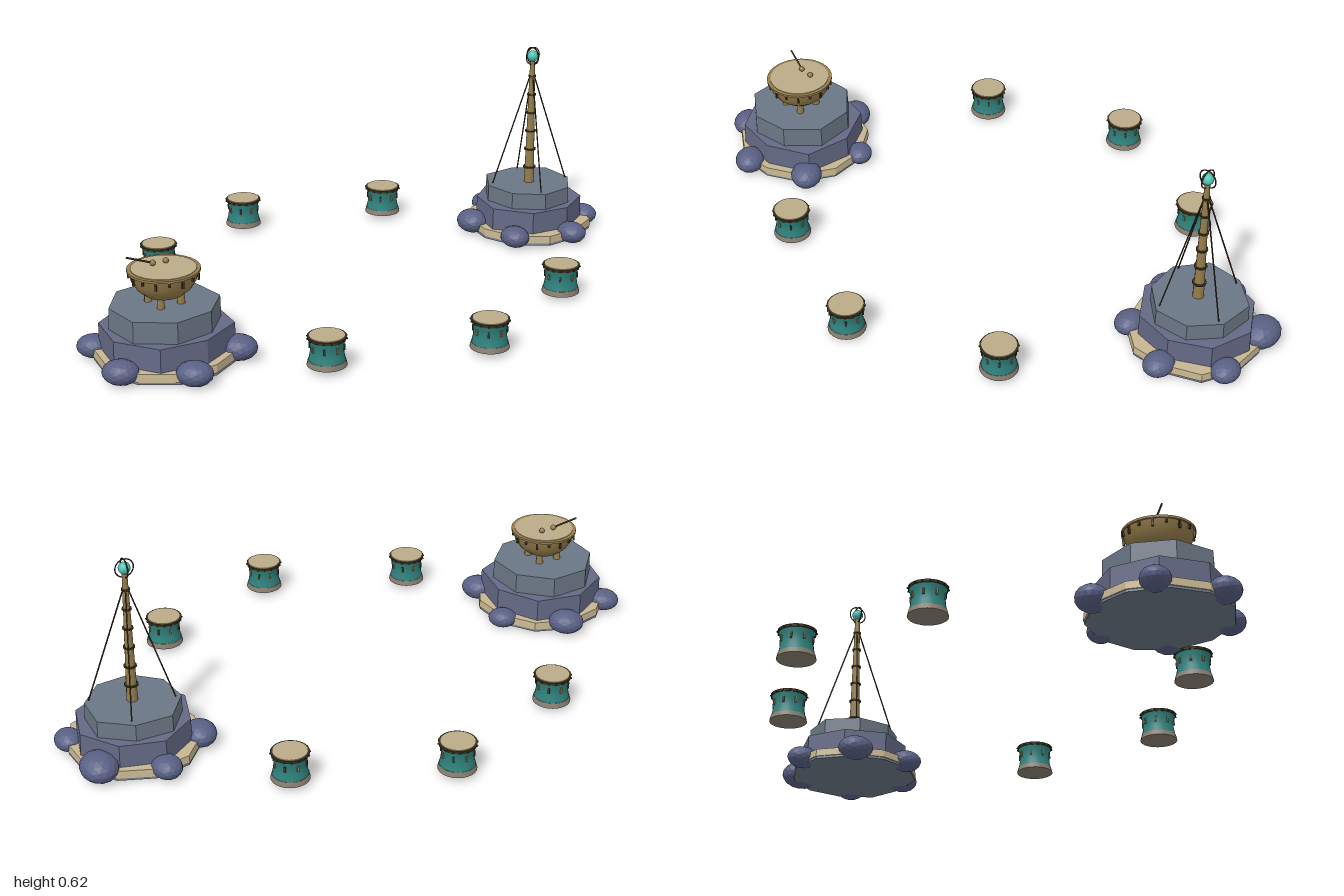
import * as THREE from 'three';

const mat = (name, color) => Object.assign(new THREE.MeshStandardMaterial({ color }), { name });
const M = {
  slate: mat('slate', 0x6b7785),
  stone: mat('blue stone', 0x646a86),
  boulder: mat('boulder stone', 0x596084),
  sand: mat('sand', 0xc6b691),
  skin: mat('drum skin', 0xbbab88),
  brass: mat('brass', 0x967d4b),
  dark: mat('dark wood', 0x40361f),
  teal: mat('teal shell', 0x2f827e),
  orb: mat('orb glow', 0x4fc4b8),
  foot: mat('grey foot', 0x877e70),
};

function add(parent, name, geo, material, x = 0, y = 0, z = 0) {
  const mesh = new THREE.Mesh(geo, material);
  mesh.name = name;
  mesh.position.set(x, y, z);
  parent.add(mesh);
  return mesh;
}

function seeded(seed) {
  let s = seed;
  return () => ((s = (s * 16807) % 2147483647) / 2147483647);
}

// Hard-edged copy of a geometry
function facet(geo) {
  const g = geo.index ? geo.toNonIndexed() : geo;
  g.computeVertexNormals();
  return g;
}

// Rough stone slab: a prism whose corners are pushed in or out a little
function slab(radius, height, sides, turn, seed, rough = 0.05) {
  const rnd = seeded(seed);
  const k = Array.from({ length: sides }, () => 1 + (rnd() - 0.5) * 2 * rough);
  const geo = new THREE.CylinderGeometry(radius * 0.99, radius, height, sides);
  const p = geo.attributes.position;
  for (let i = 0; i < p.count; i++) {
    const a = Math.atan2(p.getX(i), p.getZ(i));
    const n = (Math.round((a / (2 * Math.PI)) * sides) + sides) % sides;
    p.setX(i, p.getX(i) * k[n]);
    p.setZ(i, p.getZ(i) * k[n]);
  }
  geo.rotateY(turn);
  return facet(geo);
}

// Thin rod between two points
function rod(parent, name, a, b, r, material) {
  const from = new THREE.Vector3(...a), to = new THREE.Vector3(...b);
  const curve = new THREE.LineCurve3(from, to);
  return add(parent, name, new THREE.TubeGeometry(curve, 1, r, 6), material);
}

// Stepped stone island with a sandy skirt and six boulders
function island(name, x, z, o) {
  const g = new THREE.Group();
  g.name = name;
  g.position.set(x, 0, z);
  add(g, 'underside', slab(o.sand * 0.99, 0.008, 11, 0.2, o.seed, 0.03), M.slate, 0, 0.018, 0);
  add(g, 'sandSkirt', slab(o.sand, 0.024, 11, 0.2, o.seed, 0.03), M.sand, 0, 0.034, 0);
  add(g, 'lowerTier', slab(o.lower, 0.072, 8, 0.15, o.seed + 5), M.stone, 0, 0.08, 0);
  add(g, 'upperTier', slab(o.upper, o.top - 0.114, 8, 0.45, o.seed + 9), M.slate, 0, (o.top + 0.114) / 2, 0);
  o.sizes.forEach((s, i) => {
    const a = o.start + (i * Math.PI) / 3;
    const b = add(g, 'boulder', facet(new THREE.IcosahedronGeometry(1, 2)), M.boulder,
      o.ring * Math.cos(a), 0.036 * s + 0.006, o.ring * Math.sin(a));
    b.scale.set(0.054 * s, 0.036 * s, 0.047 * s);
    b.rotation.y = -a + i;
  });
  return g;
}

// Small waisted drum
function drum(x, z) {
  const g = new THREE.Group();
  g.name = 'smallDrum';
  g.position.set(x, 0, z);
  add(g, 'foot', new THREE.CylinderGeometry(0.054, 0.058, 0.016, 24), M.foot, 0, 0.03, 0);
  const profile = [[0.053, 0.038], [0.0495, 0.055], [0.048, 0.07], [0.0495, 0.087], [0.054, 0.104]];
  add(g, 'shell', new THREE.LatheGeometry(profile.map((p) => new THREE.Vector2(...p)), 24), M.teal);
  add(g, 'rim', new THREE.CylinderGeometry(0.057, 0.056, 0.008, 24), M.dark, 0, 0.106, 0);
  add(g, 'skin', new THREE.CylinderGeometry(0.052, 0.052, 0.004, 24), M.skin, 0, 0.1105, 0);
  for (let i = 0; i < 8; i++) {
    const a = (i * Math.PI) / 4;
    const lug = add(g, 'lug', new THREE.BoxGeometry(0.006, 0.018, 0.006), i % 2 ? M.dark : M.brass,
      0.049 * Math.sin(a), 0.078, 0.049 * Math.cos(a));
    lug.rotation.y = a;
  }
  for (let i = 0; i < 16; i++) {
    const a = (i * Math.PI) / 8;
    add(g, 'rimPeg', new THREE.SphereGeometry(0.003, 6, 4), M.dark, 0.057 * Math.sin(a), 0.105, 0.057 * Math.cos(a));
  }
  return g;
}

// Large bowl drum on short feet
function bowlDrum() {
  const g = new THREE.Group();
  g.name = 'bowlDrum';
  const profile = [[0.001, 0.196], [0.03, 0.197], [0.055, 0.207], [0.078, 0.226], [0.093, 0.25], [0.1, 0.276], [0.1, 0.28]];
  add(g, 'bowl', new THREE.LatheGeometry(profile.map((p) => new THREE.Vector2(...p)), 32), M.brass);
  add(g, 'rim', new THREE.CylinderGeometry(0.105, 0.105, 0.007, 32), M.brass, 0, 0.28, 0);
  add(g, 'skin', new THREE.CylinderGeometry(0.094, 0.094, 0.004, 32), M.skin, 0, 0.2835, 0);
  for (let i = 0; i < 16; i++) {
    const a = (i * Math.PI) / 8;
    const peg = add(g, 'peg', new THREE.BoxGeometry(0.006, i % 2 ? 0.014 : 0.024, 0.006), M.dark,
      0.1 * Math.sin(a), i % 2 ? 0.27 : 0.265, 0.1 * Math.cos(a));
    peg.rotation.y = a;
  }
  for (let i = 0; i < 4; i++) {
    const a = Math.PI / 4 + (i * Math.PI) / 2;
    add(g, 'foot', new THREE.CylinderGeometry(0.01, 0.012, 0.032, 8), M.brass, 0.048 * Math.sin(a), 0.193, 0.048 * Math.cos(a));
  }
  // Mallet resting on the skin
  rod(g, 'malletStick', [-0.092, 0.32, -0.05], [-0.018, 0.294, -0.028], 0.003, M.dark);
  add(g, 'malletHead', new THREE.SphereGeometry(0.009, 12, 8), M.brass, -0.018, 0.294, -0.028);
  add(g, 'malletHead', new THREE.SphereGeometry(0.009, 12, 8), M.brass, 0.024, 0.292, -0.026);
  return g;
}

// Banded mast with four stays and a ringed orb
function mast() {
  const g = new THREE.Group();
  g.name = 'mast';
  add(g, 'pole', new THREE.CylinderGeometry(0.008, 0.017, 0.42, 12), M.brass, 0, 0.373, 0);
  for (let i = 0; i < 6; i++) {
    const y = 0.22 + i * 0.0625;
    add(g, 'band', new THREE.CylinderGeometry(0.021 - i * 0.0016, 0.021 - i * 0.0016, 0.005, 12), M.dark, 0, y, 0);
  }
  for (let i = 0; i < 4; i++) {
    const a = 0.41 + (i * Math.PI) / 2;
    rod(g, 'stay', [0.008 * Math.cos(a), 0.53, 0.008 * Math.sin(a)],
      [0.126 * Math.cos(a), 0.172, 0.126 * Math.sin(a)], 0.0022, M.dark);
  }
  add(g, 'orb', new THREE.SphereGeometry(0.018, 16, 12), M.orb, 0, 0.6, 0);
  for (const turn of [0, Math.PI / 2]) {
    add(g, 'orbRing', new THREE.TorusGeometry(0.028, 0.002, 6, 32), M.dark, 0, 0.6, 0).rotation.y = turn;
  }
  return g;
}

export function createModel() {
  const model = new THREE.Group();
  model.name = 'drumCircle';

  const left = island('drumIsland', -0.76, 0.103, {
    sand: 0.212, lower: 0.19, upper: 0.163, top: 0.18, ring: 0.207, start: -2.45, seed: 71,
    sizes: [0.95, 1.05, 0.85, 1.05, 1, 1],
  });
  left.add(bowlDrum());
  const right = island('mastIsland', 0.77, -0.065, {
    sand: 0.203, lower: 0.175, upper: 0.148, top: 0.168, ring: 0.193, start: -1.67, seed: 417,
    sizes: [0.95, 1.2, 0.9, 0.95, 0.95, 1.05],
  });
  right.add(mast());
  model.add(left, right);

  // Six drums on a ring, leaving the two island places free
  for (let i = 0; i < 8; i++) {
    if (i % 4 === 2) continue;
    const a = (i * Math.PI) / 4;
    model.add(drum(0.006 + 0.63 * Math.sin(a), -0.004 + 0.63 * Math.cos(a)));
  }
  return model;
}
